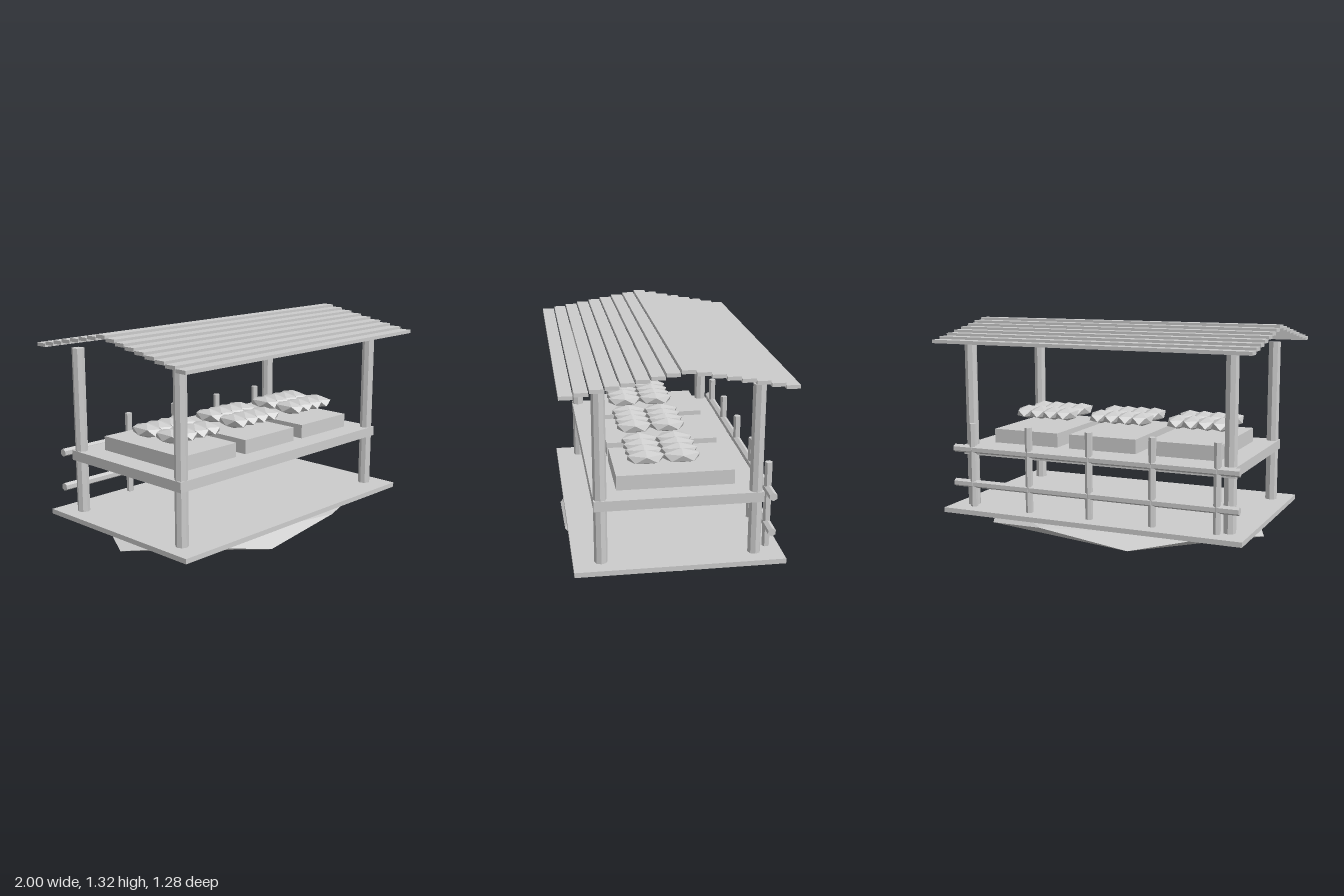
import * as THREE from 'three';

const material = new THREE.MeshStandardMaterial({ color: 0xcccccc, flatShading: true });
const MID = -0.018; // z of the stall's middle

export function createModel() {
  const stall = new THREE.Group();
  stall.name = 'marketStall';

  const add = (name, geometry, x, y, z, parent = stall) => {
    const mesh = new THREE.Mesh(geometry, material);
    mesh.name = name;
    mesh.position.set(x, y, z);
    parent.add(mesh);
    return mesh;
  };
  const group = (name) => {
    const g = new THREE.Group();
    g.name = name;
    stall.add(g);
    return g;
  };

  // Icosahedron standing on one corner, stretched by the given radii
  const lump = (rx, ry, rz) => new THREE.IcosahedronGeometry(1, 0)
    .rotateZ(-Math.atan(2 / (1 + Math.sqrt(5))))
    .scale(rx, ry, rz);

  // Ground: faceted rock with a flat deck on top
  add('baseRock', lump(1.029, 0.084, 0.719), 0, 0.084, MID);
  add('deck', new THREE.BoxGeometry(1.92, 0.03, 1.2), 0, 0.16, MID);

  // Four roof posts
  const postGeometry = new THREE.CylinderGeometry(0.038, 0.038, 1.01, 8);
  for (const x of [-0.84, 0.84]) {
    for (const z of [0.424, -0.457]) add('roofPost', postGeometry, x, 0.68, z);
  }

  // Counter slab
  add('counter', new THREE.BoxGeometry(1.76, 0.06, 0.96), 0, 0.528, MID);

  // Three crates, each with two rows of four pieces of produce
  const crateGeometry = new THREE.BoxGeometry(0.44, 0.09, 0.68);
  const produceGeometry = lump(0.0716, 0.0437, 0.122);
  for (const x of [-0.52, 0, 0.52]) {
    add('crate', crateGeometry, x, 0.6, MID);
    const produce = group('produce');
    for (let i = 0; i < 4; i++) {
      for (const z of [0.145, -0.062]) {
        add('fruit', produceGeometry, x + (i - 1.5) * 0.093, 0.719, z, produce);
      }
    }
  }

  // Back fence: five uprights and two rails
  const fence = group('backFence');
  const uprightGeometry = new THREE.CylinderGeometry(0.0225, 0.0225, 0.52, 6);
  for (const x of [-0.79, -0.4, 0, 0.4, 0.79]) {
    add('fenceUpright', uprightGeometry, x, 0.443, -0.538, fence);
  }
  const railGeometry = new THREE.CylinderGeometry(0.025, 0.025, 1.84, 6)
    .rotateY(Math.PI / 2).rotateZ(Math.PI / 2);
  for (const y of [0.325, 0.542]) add('fenceRail', railGeometry, 0, y, -0.538, fence);

  // Roof: stepped slats rising to a low ridge
  const roof = group('roof');
  const slatGeometry = new THREE.BoxGeometry(2, 0.021, 0.075);
  for (let i = 0; i < 16; i++) {
    const drop = i < 8 ? 0.014 : 0.0151;
    add('roofSlat', slatGeometry, 0, 1.312 - drop * Math.abs(i - 8), 0.602 - 0.08 * i, roof);
  }

  return stall;
}
